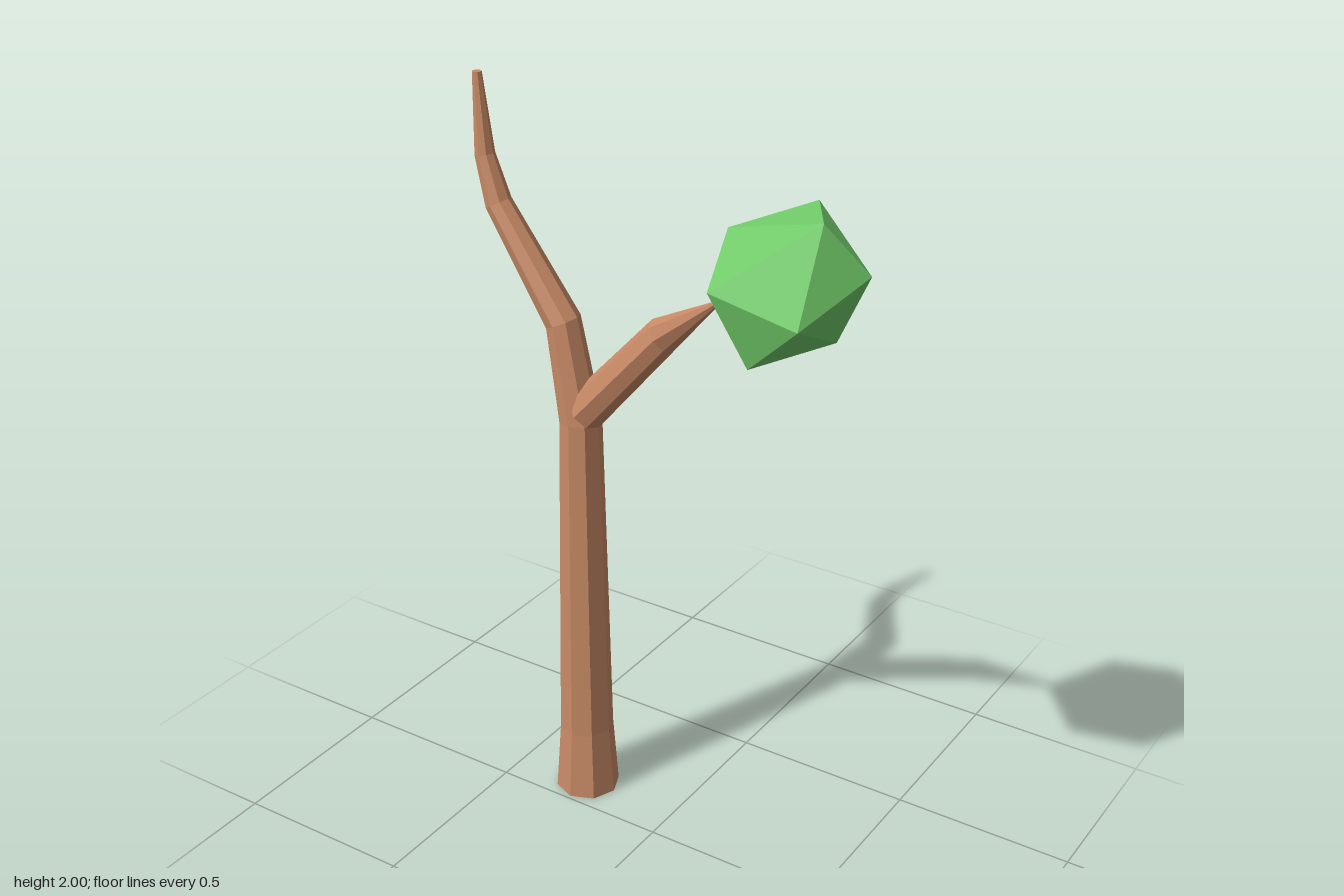
import * as THREE from 'three';
import { ConvexGeometry } from 'three/addons/geometries/ConvexGeometry.js';

const SIDES = 8;

// Eight-sided limb through rings of [x, y, z, radius, tilt in the xy plane]; the last ring is capped.
function limbGeometry(rings) {
  const pos = [], index = [];
  const [ex, ey, ez] = rings[rings.length - 1];
  for (const [x, y, z, r, tilt] of rings) {
    for (let i = 0; i < SIDES; i++) {
      const a = (i / SIDES) * Math.PI * 2;
      const u = Math.cos(a) * r;
      pos.push(x + u * Math.cos(tilt), y + u * Math.sin(tilt), z + Math.sin(a) * r);
    }
  }
  pos.push(ex, ey, ez);
  const tip = rings.length * SIDES;
  for (let k = 0; k < rings.length; k++) {
    for (let i = 0; i < SIDES; i++) {
      const j = (i + 1) % SIDES;
      const p = k * SIDES + i, pn = k * SIDES + j;
      if (k === rings.length - 1) index.push(p, tip, pn);
      else index.push(p, p + SIDES, pn, pn, p + SIDES, pn + SIDES);
    }
  }
  const geo = new THREE.BufferGeometry();
  geo.setAttribute('position', new THREE.Float32BufferAttribute(pos, 3));
  geo.setIndex(index);
  const flat = geo.toNonIndexed();
  flat.computeVertexNormals();
  return flat;
}

export function createModel() {
  const group = new THREE.Group();
  group.name = 'tree';
  const bark = new THREE.MeshStandardMaterial({ color: 0xc88a66, flatShading: true, side: THREE.DoubleSide });
  const leaf = new THREE.MeshStandardMaterial({ color: 0x72cc6a, flatShading: true });

  const add = (name, geometry, material) => {
    const mesh = new THREE.Mesh(geometry, material);
    mesh.name = name;
    group.add(mesh);
  };

  // Trunk, open underneath, running on into the bare branch
  add('trunk', limbGeometry([
    [-0.283, 0, -0.098, 0.088, 0],
    [-0.283, 0.2, -0.098, 0.074, 0],
    [-0.284, 1.14, -0.098, 0.056, 0.05],
    [-0.332, 1.4, -0.098, 0.047, 0.44],
    [-0.522, 1.675, -0.098, 0.035, 0.5],
    [-0.559, 1.795, -0.098, 0.026, 0.2],
    [-0.573, 2, -0.098, 0.012, 0],
  ]), bark);

  // Side branch tapering into the foliage
  add('sideBranch', limbGeometry([
    [-0.267, 1.17, -0.098, 0.055, -0.82],
    [-0.032, 1.435, -0.094, 0.047, -0.87],
    [0.165, 1.59, -0.02, 0.006, -0.7],
  ]), bark);

  // Foliage: stretched, irregular twenty-faced clump
  const corners = [
    [0.5, 1.89, 0.105], [0.38, 1.86, -0.095], [0.585, 1.765, 0.035], [0.49, 1.665, 0.185],
    [0.24, 1.69, 0.15], [0.19, 1.78, -0.02], [0.157, 1.58, -0.02], [0.325, 1.51, 0.11],
    [0.505, 1.59, 0.03], [0.462, 1.69, -0.135], [0.24, 1.685, -0.168], [0.255, 1.535, -0.09],
  ].map((c) => new THREE.Vector3(...c));
  add('foliage', new ConvexGeometry(corners), leaf);

  return group;
}
